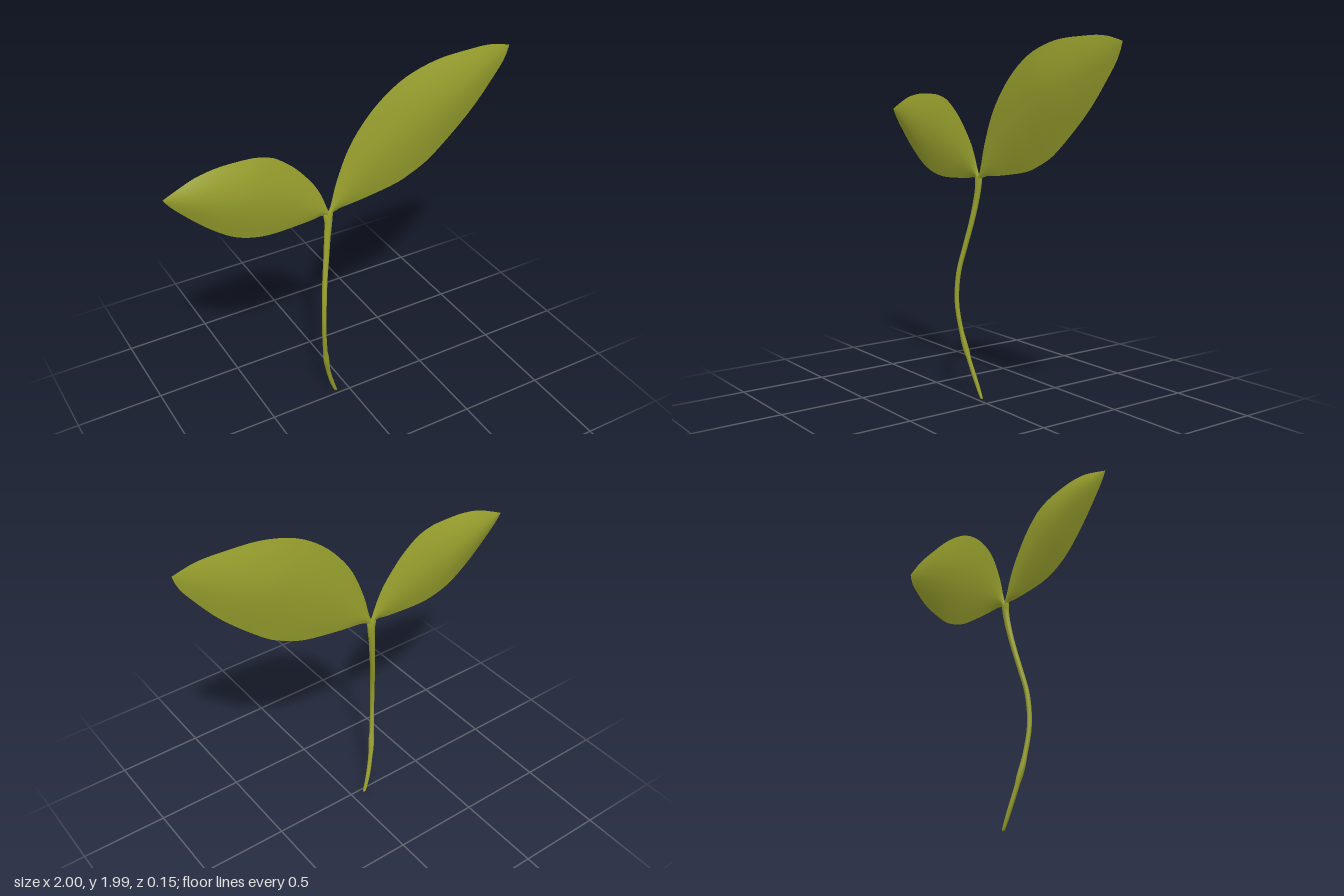
import * as THREE from 'three';
import { mergeGeometries, mergeVertices } from 'three/addons/utils/BufferGeometryUtils.js';

// Smooth surface from a grid of points; point(u, v) returns [x, y, z]
function gridSurface(point, nu, nv, flip) {
  const pos = [], idx = [];
  for (let i = 0; i <= nu; i++)
    for (let j = 0; j <= nv; j++) pos.push(...point(i / nu, j / nv));
  for (let i = 0; i < nu; i++)
    for (let j = 0; j < nv; j++) {
      const a = i * (nv + 1) + j, b = a + nv + 1;
      if (flip) idx.push(a, b + 1, b, a, a + 1, b + 1);
      else idx.push(a, b, b + 1, a, b + 1, a + 1);
    }
  let g = new THREE.BufferGeometry();
  g.setAttribute('position', new THREE.Float32BufferAttribute(pos, 3));
  g.setIndex(idx);
  g = mergeVertices(g, 1e-5);
  g.computeVertexNormals();
  return g;
}

const curve2 = (pts) => new THREE.SplineCurve(pts.map(([x, y]) => new THREE.Vector2(x, y)));

// Lens-shaped leaf between a lower and an upper edge, thickest past the middle
function makeLeaf(name, lowerPts, upperPts, thickPts, mirrored, material) {
  const lower = curve2(lowerPts), upper = curve2(upperPts), thick = curve2(thickPts);
  const sheet = (side) => gridSurface((u, v) => {
    const a = lower.getPointAt(u), b = upper.getPointAt(u);
    const t = Math.max(0, thick.getPoint(u).y);
    const bulge = v === 0 || v === 1 ? 0 : Math.sin(Math.PI * v);
    return [a.x + (b.x - a.x) * v, a.y + (b.y - a.y) * v, -0.03 + side * t * bulge];
  }, 32, 14, (side < 0) !== mirrored);
  const mesh = new THREE.Mesh(mergeGeometries([sheet(1), sheet(-1)]), material);
  mesh.name = name;
  return mesh;
}

export function createModel() {
  const group = new THREE.Group();
  group.name = 'seedling';
  const green = new THREE.MeshStandardMaterial({ color: 0x98a02d });
  green.name = 'leaf green';

  // Large leaf on the model's left
  group.add(makeLeaf('largeLeaf',
    [[-0.11, 1.22], [-0.085, 1.245], [-0.05, 1.262], [0.08, 1.275], [0.3, 1.31], [0.41, 1.35], [0.5, 1.395],
      [0.58, 1.455], [0.7, 1.56], [0.8, 1.66], [0.89, 1.77], [0.97, 1.88], [1, 1.96]],
    [[-0.115, 1.25], [-0.095, 1.3], [-0.06, 1.43], [0.01, 1.6], [0.1, 1.73], [0.2, 1.83], [0.31, 1.905],
      [0.42, 1.95], [0.55, 1.98], [0.7, 1.99], [0.87, 1.99], [1, 1.96]],
    [[0, 0.01], [0.2, 0.018], [0.4, 0.034], [0.6, 0.045], [0.8, 0.028], [1, 0]], false, green));

  // Small leaf on the model's right
  group.add(makeLeaf('smallLeaf',
    [[-0.115, 1.22], [-0.145, 1.25], [-0.22, 1.24], [-0.4, 1.23], [-0.5, 1.235], [-0.6, 1.26], [-0.69, 1.305],
      [-0.8, 1.39], [-0.9, 1.485], [-0.97, 1.56], [-1, 1.605]],
    [[-0.105, 1.25], [-0.12, 1.29], [-0.15, 1.37], [-0.2, 1.46], [-0.3, 1.58], [-0.4, 1.66], [-0.46, 1.685],
      [-0.54, 1.7], [-0.7, 1.7], [-0.82, 1.68], [-0.9, 1.65], [-1, 1.605]],
    [[0, 0.01], [0.2, 0.018], [0.4, 0.034], [0.6, 0.045], [0.8, 0.034], [1, 0]], true, green));

  // Curved stem: centre line, then half widths in x and z, closed at both ends
  const stations = [
    [-0.076, 0, -0.025, 0, 0], [-0.08, 0.006, -0.025, 0.009, 0.008], [-0.115, 0.1, -0.012, 0.013, 0.012],
    [-0.152, 0.23, 0.012, 0.013, 0.013], [-0.18, 0.38, 0.04, 0.013, 0.013], [-0.196, 0.55, 0.06, 0.012, 0.013],
    [-0.189, 0.72, 0.052, 0.013, 0.014], [-0.168, 0.86, 0.024, 0.014, 0.015], [-0.144, 0.99, -0.001, 0.016, 0.015],
    [-0.125, 1.11, -0.02, 0.018, 0.016], [-0.113, 1.2, -0.028, 0.023, 0.015], [-0.113, 1.245, -0.03, 0.029, 0.011],
    [-0.113, 1.27, -0.03, 0, 0]];
  const line = new THREE.CatmullRomCurve3(stations.map((s) => new THREE.Vector3(s[0], s[1], s[2])));
  const size = new THREE.CatmullRomCurve3(stations.map((s) => new THREE.Vector3(s[3], s[4], 0)));
  const stem = new THREE.Mesh(gridSurface((u, v) => {
    const p = line.getPoint(u), r = size.getPoint(u), a = (v % 1) * Math.PI * 2;
    return [p.x + Math.max(0, r.x) * Math.cos(a), p.y, p.z + Math.max(0, r.y) * Math.sin(a)];
  }, 48, 12, false), green);
  stem.name = 'stem';
  group.add(stem);

  return group;
}
